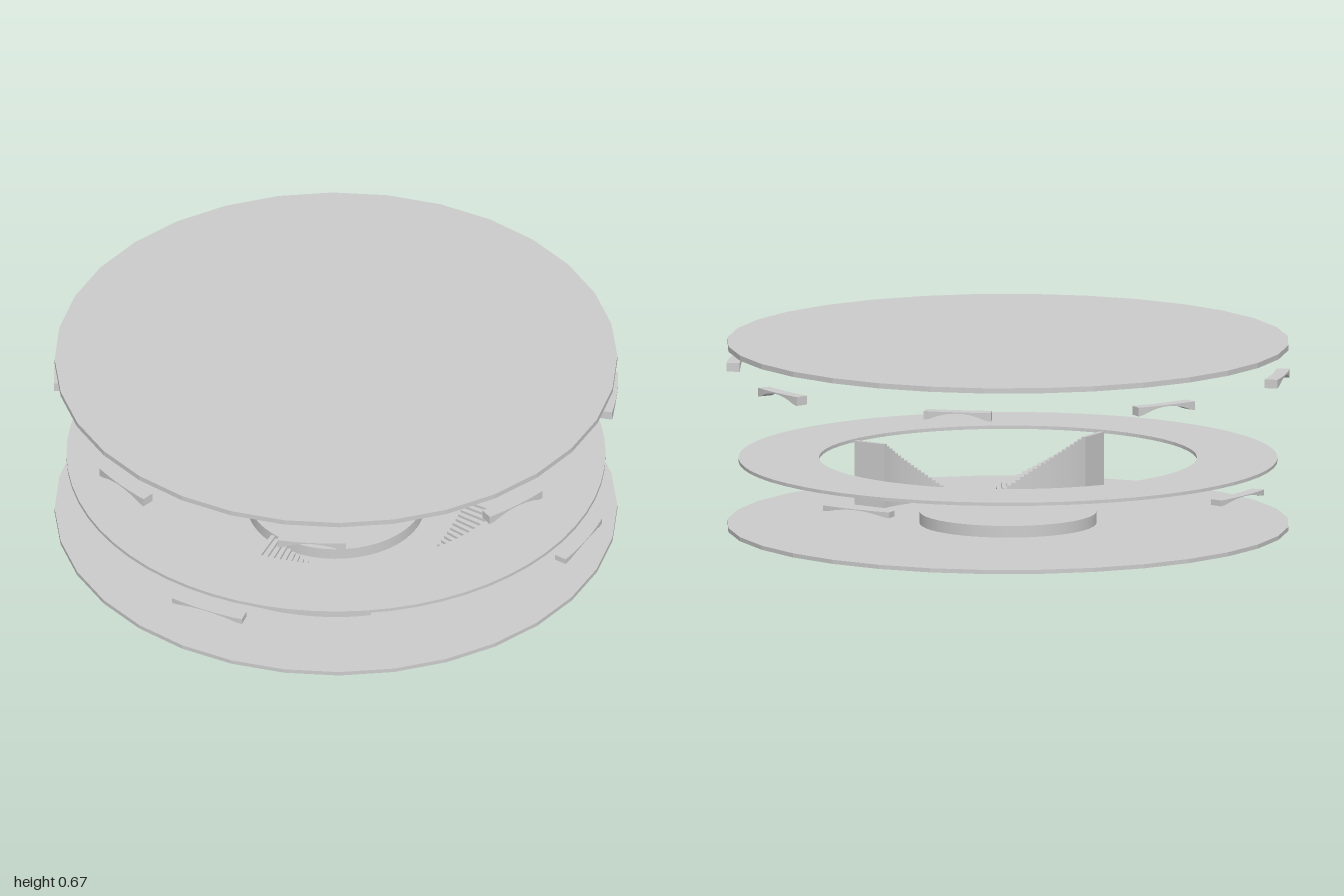
import * as THREE from 'three';

const material = new THREE.MeshStandardMaterial({ color: 0xcccccc, flatShading: true });
const smooth = new THREE.MeshStandardMaterial({ color: 0xcccccc });
const rad = THREE.MathUtils.degToRad;

// Solid swept around the y axis; each station is [angle from +z, bottom, top], angles ascending
function sectorSolid(inner, outer, stations) {
  const sections = stations.map(([a, bottom, top]) =>
    [[inner, bottom], [outer, bottom], [outer, top], [inner, top]].map(([r, y]) =>
      [r * Math.sin(a), y, r * Math.cos(a)]));
  const positions = [];
  const quad = (a, b, c, d) => positions.push(...a, ...b, ...c, ...a, ...c, ...d);
  for (let k = 0; k < sections.length - 1; k++) {
    const s = sections[k], n = sections[k + 1];
    for (let i = 0; i < 4; i++) {
      const j = (i + 1) % 4;
      quad(s[i], n[i], n[j], s[j]);
    }
  }
  quad(...sections[0]);
  quad(...sections[sections.length - 1].slice().reverse());
  const geometry = new THREE.BufferGeometry();
  geometry.setAttribute('position', new THREE.Float32BufferAttribute(positions, 3));
  geometry.computeVertexNormals();
  return geometry;
}

// Slab curved in plan, with an arched underside
function archedSlab(centre, halfAngle, bottom, top) {
  const stations = [], steps = 12;
  for (let i = 0; i <= steps; i++) {
    const t = (i / steps) * 2 - 1;
    // short flat feet at both ends of the arch
    const u = Math.min(1, Math.abs(t) / 0.9);
    const y = bottom + (top - bottom) * 0.85 * (1 - u * u);
    stations.push([centre + t * halfAngle, y, top]);
  }
  return sectorSolid(0.96, 1.008, stations);
}

// Stair rising around the central opening, solid down to the floor
function curvedStair(side) {
  const steps = 22, start = rad(6.7), end = rad(42.8), floor = 0.015, top = 0.246;
  const stations = [];
  for (let i = 0; i < steps; i++) {
    const y = floor + ((top - floor) * (i + 1)) / steps;
    for (const k of [i, i + 1]) {
      stations.push([side * (start + ((end - start) * k) / steps), floor, y]);
    }
  }
  if (side < 0) stations.reverse();
  return sectorSolid(0.54, 0.67, stations);
}

export function createModel() {
  const model = new THREE.Group();
  model.name = 'roundPavilion';
  const add = (name, geometry, mat = material) => {
    const mesh = new THREE.Mesh(geometry, mat);
    mesh.name = name;
    model.add(mesh);
    return mesh;
  };

  // Floor, roof and central podium
  const disc = (name, radius, bottom, top, sides, mat) => {
    const geometry = new THREE.CylinderGeometry(radius, radius, top - bottom, sides);
    geometry.rotateY(Math.PI / sides);
    geometry.translate(0, (top + bottom) / 2, 0);
    add(name, geometry, mat);
  };
  disc('floorDisc', 1.005, 0, 0.015, 32);
  disc('roofDisc', 1.005, 0.654, 0.673, 32);
  disc('podium', 0.316, 0.015, 0.057, 48, smooth);

  // Gallery ring with a round opening
  const ring = new THREE.Shape().absarc(0, 0, 0.963, 0, Math.PI * 2);
  ring.holes.push(new THREE.Path().absarc(0, 0, 0.675, 0, Math.PI * 2, true));
  const gallery = new THREE.ExtrudeGeometry(ring, { depth: 0.012, bevelEnabled: false, curveSegments: 32 });
  gallery.rotateX(-Math.PI / 2);
  gallery.translate(0, 0.24, 0);
  add('galleryRing', gallery, smooth);

  // Mirrored pair of stairs at the front
  add('leftStair', curvedStair(1));
  add('rightStair', curvedStair(-1));

  // Arched slabs around the rim: four low, eight high
  for (let i = 0; i < 4; i++) {
    add('lowerArch', archedSlab(rad(45 + 90 * i), rad(8), 0.187, 0.208));
  }
  for (let i = 0; i < 8; i++) {
    add('upperArch', archedSlab(rad(22.5 + 45 * i), rad(7), 0.552, 0.584));
  }
  return model;
}
